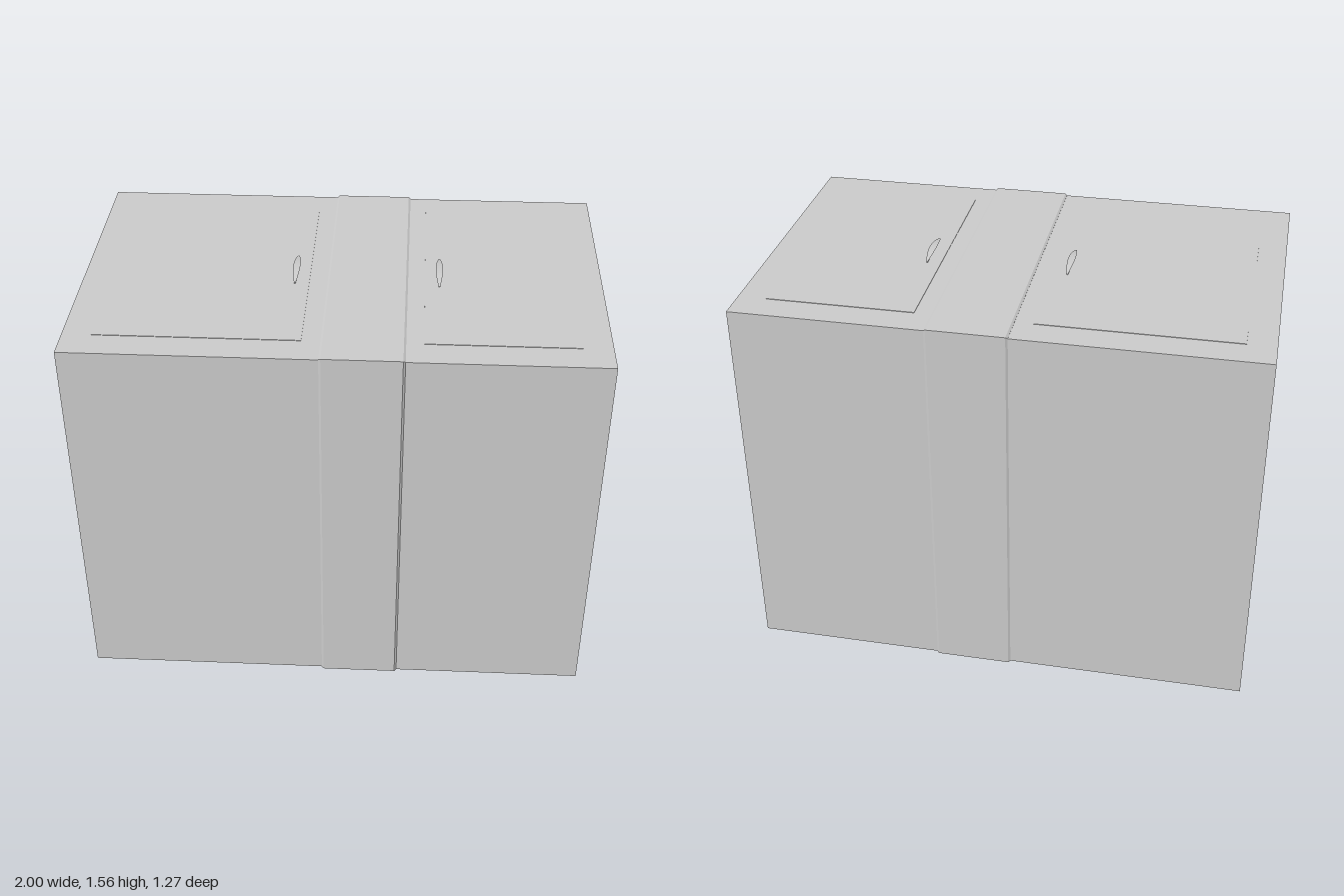
import * as THREE from 'three';

const material = new THREE.MeshStandardMaterial({ color: 0xcccccc, flatShading: true });
const TOP = 1.537;

function add(group, name, geometry, x, y, z) {
  const mesh = new THREE.Mesh(geometry, material);
  mesh.name = name;
  mesh.position.set(x, y, z);
  group.add(mesh);
}

// Arched grip along z: widest and highest at the middle, tapering to its ends
function gripGeometry() {
  const half = 0.105;
  const geometry = new THREE.BoxGeometry(1, 1, 2 * half, 1, 1, 16);
  const p = geometry.attributes.position;
  for (let i = 0; i < p.count; i++) {
    const t = p.getZ(i) / half;
    const bulge = 1 - t * t;
    const upper = p.getY(i) > 0;
    const width = upper ? 0.006 + 0.022 * bulge : 0.005 + 0.012 * bulge;
    p.setX(i, p.getX(i) * width);
    p.setY(i, 0.001 + 0.015 * bulge + (upper ? 0.005 : 0));
  }
  geometry.computeVertexNormals();
  return geometry;
}

// Band around the body, its edges chamfered down to the body's faces
function bandGeometry(width, height, depth) {
  const chamfer = 0.005, run = 0.008;
  const w = depth / 2 - chamfer, h = height / 2 - chamfer;
  const outline = new THREE.Shape([
    new THREE.Vector2(-w, -h), new THREE.Vector2(w, -h),
    new THREE.Vector2(w, h), new THREE.Vector2(-w, h),
  ]);
  const geometry = new THREE.ExtrudeGeometry(outline, {
    depth: width - 2 * run, bevelSize: chamfer, bevelThickness: run, bevelSegments: 1,
  });
  geometry.translate(0, 0, -(width - 2 * run) / 2);
  geometry.rotateY(Math.PI / 2);
  return geometry;
}

export function createModel() {
  const model = new THREE.Group();
  model.name = 'case';

  // Closed body and the raised band round it
  add(model, 'body', new THREE.BoxGeometry(2, TOP - 0.006, 1.264), 0, (TOP + 0.006) / 2, 0);
  add(model, 'band', bandGeometry(0.31, 1.543, 1.274), 0.1, 1.543 / 2, 0);

  // Two thin lids on the top, each with a grip near the band
  const lids = [
    { side: 'right', from: -0.89, to: -0.125, grip: -0.18 },
    { side: 'left', from: 0.32, to: 0.89, grip: 0.375 },
  ];
  for (const { side, from, to, grip } of lids) {
    add(model, side + 'Lid', new THREE.BoxGeometry(to - from, 0.006, 1.02), (from + to) / 2, TOP - 0.001, 0);
    add(model, side + 'Grip', gripGeometry(), grip, TOP, 0);
  }
  return model;
}
